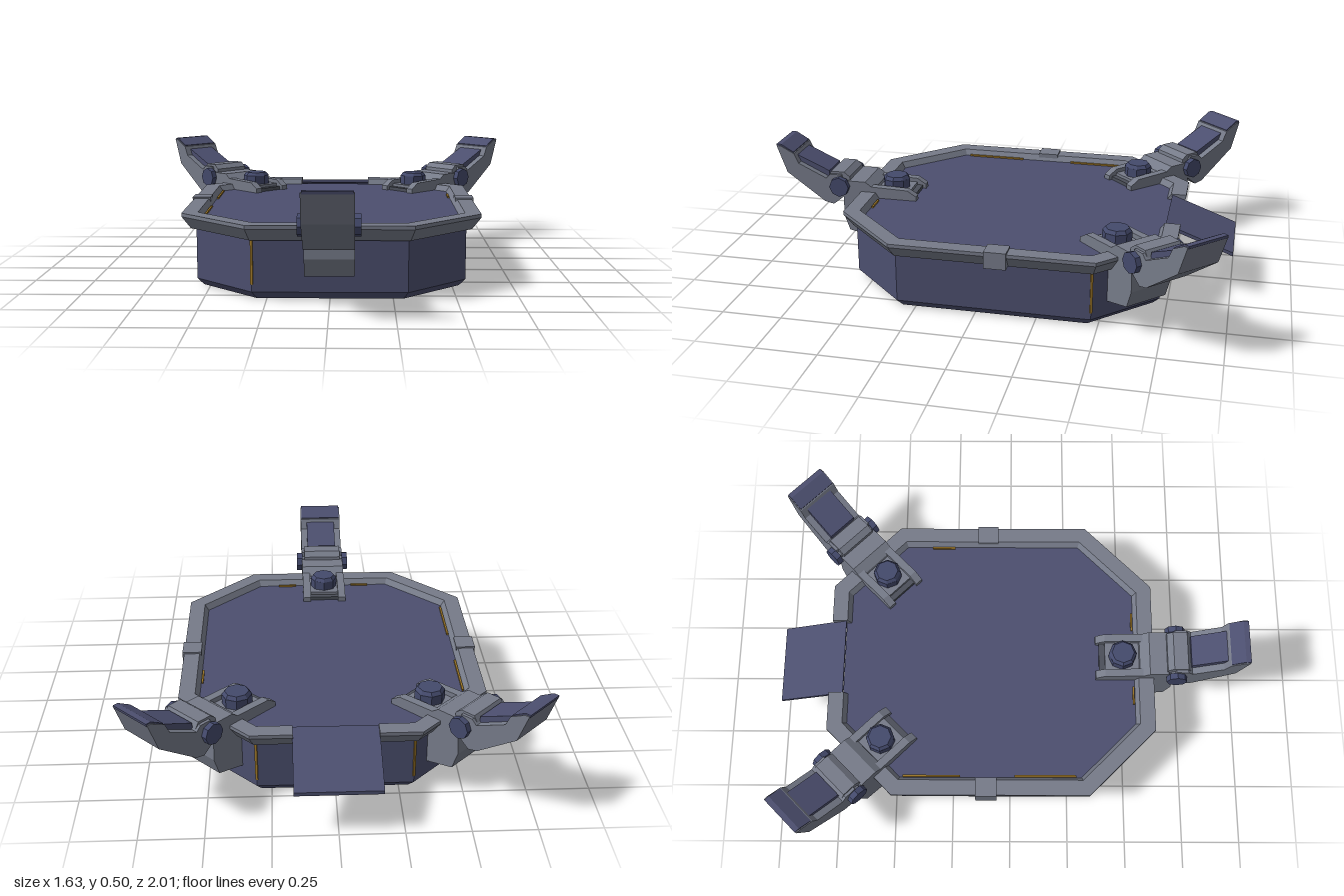
import * as THREE from 'three';

const mat = (name, color) => Object.assign(new THREE.MeshStandardMaterial({ color, flatShading: true }), { name });
const navy = mat('navy panel', 0x4c4f6f);
const grey = mat('grey metal', 0x767b89);
const boltBlue = mat('bolt blue', 0x444a6c);
const dark = mat('dark recess', 0x4b4f59);
const amber = mat('amber trim', 0x9a7426);

function add(parent, name, geometry, material, x = 0, y = 0, z = 0) {
  const m = new THREE.Mesh(geometry, material);
  m.name = name;
  m.position.set(x, y, z);
  parent.add(m);
  return m;
}

// Chamfered rectangle: half width w, front zf, back zb, corner cut c
const octagon = (w, zf, zb, c) => [
  [c - w, zb], [-w, zb + c], [-w, zf - c], [c - w, zf],
  [w - c, zf], [w, zf - c], [w, zb + c], [w - c, zb]];

// Skins a stack of outlines, each { y, pts }
function loft(levels, closed) {
  const out = [];
  for (let k = 0; k < levels.length - 1; k++) {
    const A = levels[k], B = levels[k + 1], n = A.pts.length;
    for (let i = 0; i < (closed ? n : n - 1); i++) {
      const j = (i + 1) % n;
      const v = (L, q) => [L.pts[q][0], L.y, L.pts[q][1]];
      out.push(...v(A, i), ...v(A, j), ...v(B, j), ...v(A, i), ...v(B, j), ...v(B, i));
    }
  }
  const g = new THREE.BufferGeometry();
  g.setAttribute('position', new THREE.Float32BufferAttribute(out, 3));
  g.computeVertexNormals();
  return g;
}

// Side profile of [z, y] points given a width along x
function slab(profile, width) {
  const g = new THREE.ExtrudeGeometry(new THREE.Shape(profile.map(p => new THREE.Vector2(...p))),
    { depth: width, bevelEnabled: false });
  g.translate(0, 0, -width / 2);
  g.rotateY(-Math.PI / 2);
  return g;
}

function createArm(name) {
  const arm = new THREE.Group();
  arm.name = name;
  // Clamp bracket hooked over the rim
  add(arm, 'clampBracket', slab([[0.55, 0.09], [0.68, 0.118], [0.705, 0.19], [0.7, 0.3], [0.68, 0.35],
    [0.6, 0.35], [0.56, 0.32], [0.55, 0.28]], 0.194), grey);
  add(arm, 'clampPlate', slab([[0.41, 0.27], [0.58, 0.27], [0.58, 0.308], [0.41, 0.308]], 0.13), grey);
  add(arm, 'clampSlot', slab([[0.385, 0.27], [0.41, 0.27], [0.41, 0.295], [0.385, 0.295]], 0.13), dark);
  for (const s of [-1, 1])
    add(arm, 'clampRail', slab([[0.37, 0.27], [0.58, 0.27], [0.58, 0.33], [0.41, 0.325], [0.37, 0.3]], 0.034),
      grey, s * 0.08);
  // Clamp knob
  add(arm, 'clampKnob', new THREE.CylinderGeometry(0.06, 0.06, 0.04, 8), boltBlue, 0, 0.328, 0.485);
  add(arm, 'knobCap', new THREE.CylinderGeometry(0.048, 0.06, 0.015, 8), boltBlue, 0, 0.355, 0.485);
  // Hinge with a bolt head at each side
  add(arm, 'hingePin', new THREE.CylinderGeometry(0.034, 0.034, 0.22, 8).rotateZ(Math.PI / 2), grey, 0, 0.325, 0.715);
  for (const s of [-1, 1])
    add(arm, 'hingeBolt', new THREE.CylinderGeometry(0.044, 0.044, 0.026, 8).rotateZ(Math.PI / 2),
      boltBlue, s * 0.108, 0.325, 0.715);
  add(arm, 'hingeKnuckle', slab([[0.67, 0.3], [0.75, 0.27], [0.775, 0.36], [0.76, 0.385], [0.7, 0.385], [0.675, 0.365]],
    0.17), grey);
  // Raised finger, its inset panel and tip pad
  add(arm, 'finger', slab([[0.695, 0.28], [0.75, 0.236], [0.79, 0.245], [0.96, 0.37], [1.003, 0.49], [0.985, 0.49],
    [0.925, 0.458], [0.905, 0.415], [0.78, 0.355], [0.76, 0.375], [0.71, 0.375]], 0.194), grey);
  add(arm, 'fingerPanel', slab([[0.775, 0.34], [0.91, 0.405], [0.92, 0.445], [0.775, 0.38]], 0.135), navy);
  add(arm, 'tipPad', slab([[0.93, 0.455], [0.985, 0.484], [1.003, 0.484], [1.005, 0.496], [0.983, 0.496], [0.928, 0.464]],
    0.185), navy);
  return arm;
}

export function createModel() {
  const model = new THREE.Group();
  model.name = 'platform';

  // Tub with bevelled foot and flat deck
  const centre = y => ({ y, pts: Array(8).fill([0, -0.08]) });
  add(model, 'tub', loft([
    centre(0),
    { y: 0, pts: octagon(0.53, 0.545, -0.695, 0.24) },
    { y: 0.03, pts: octagon(0.555, 0.57, -0.72, 0.247) },
    { y: 0.26, pts: octagon(0.555, 0.57, -0.72, 0.247) },
    { y: 0.28, pts: octagon(0.55, 0.565, -0.72, 0.247) },
    centre(0.28)], true), navy);

  // Rim, open at the back for the ramp
  const rim = (o, y) => {
    const p = octagon(0.615 - o, 0.62 - o, -0.78 + o, 0.285 - 0.586 * o);
    return { y, pts: [[-0.17, p[0][1]], ...p, [0.17, p[0][1]]] };
  };
  add(model, 'rim', loft([rim(0.06, 0.24), rim(0.036, 0.24), rim(0, 0.29), rim(0, 0.305),
    rim(0.065, 0.305), rim(0.085, 0.275), rim(0.06, 0.24)], false), grey);
  for (const s of [-1, 1]) {
    add(model, 'rimEnd', slab([[-0.744, 0.24], [-0.72, 0.24], [-0.695, 0.275], [-0.715, 0.305],
      [-0.78, 0.305], [-0.78, 0.29]], 0.02), grey, s * 0.175);
    // Side clips over the rim
    add(model, 'rimClip', new THREE.BoxGeometry(0.08, 0.07, 0.09), grey, s * 0.582, 0.277, -0.1);
  }

  // Ramp
  add(model, 'ramp', slab([[-0.72, 0.287], [-0.72, 0.302], [-1.0, 0.198], [-1.0, 0.183]], 0.335), navy);

  // Amber corner seams
  for (const [x, z, a] of [[-0.308, 0.57, 0.4], [-0.308, -0.72, 0.4], [0.308, -0.72, -0.4],
    [-0.555, -0.473, 1.2], [0.555, -0.473, -1.2]]) {
    const seam = add(model, 'cornerSeam', new THREE.BoxGeometry(0.01, 0.18, 0.005), amber, x, 0.15, z);
    seam.rotation.y = z > 0 ? -a : a;
  }
  // Amber trim along the deck edge
  for (const [x, z, w, d] of [[-0.528, -0.33, 0.008, 0.24], [-0.528, 0.15, 0.008, 0.26], [0.528, -0.3, 0.008, 0.1],
    [-0.17, 0.532, 0.08, 0.008], [0.17, 0.532, 0.08, 0.008]])
    add(model, 'deckTrim', new THREE.BoxGeometry(w, 0.008, d), amber, x, 0.283, z);

  // Three clamp arms
  model.add(createArm('frontArm'));
  for (const s of [-1, 1]) {
    const arm = createArm(s > 0 ? 'leftRearArm' : 'rightRearArm');
    arm.position.set(s * 0.037, 0, -0.202);
    arm.rotation.y = s * Math.PI * 0.75;
    model.add(arm);
  }
  return model;
}
